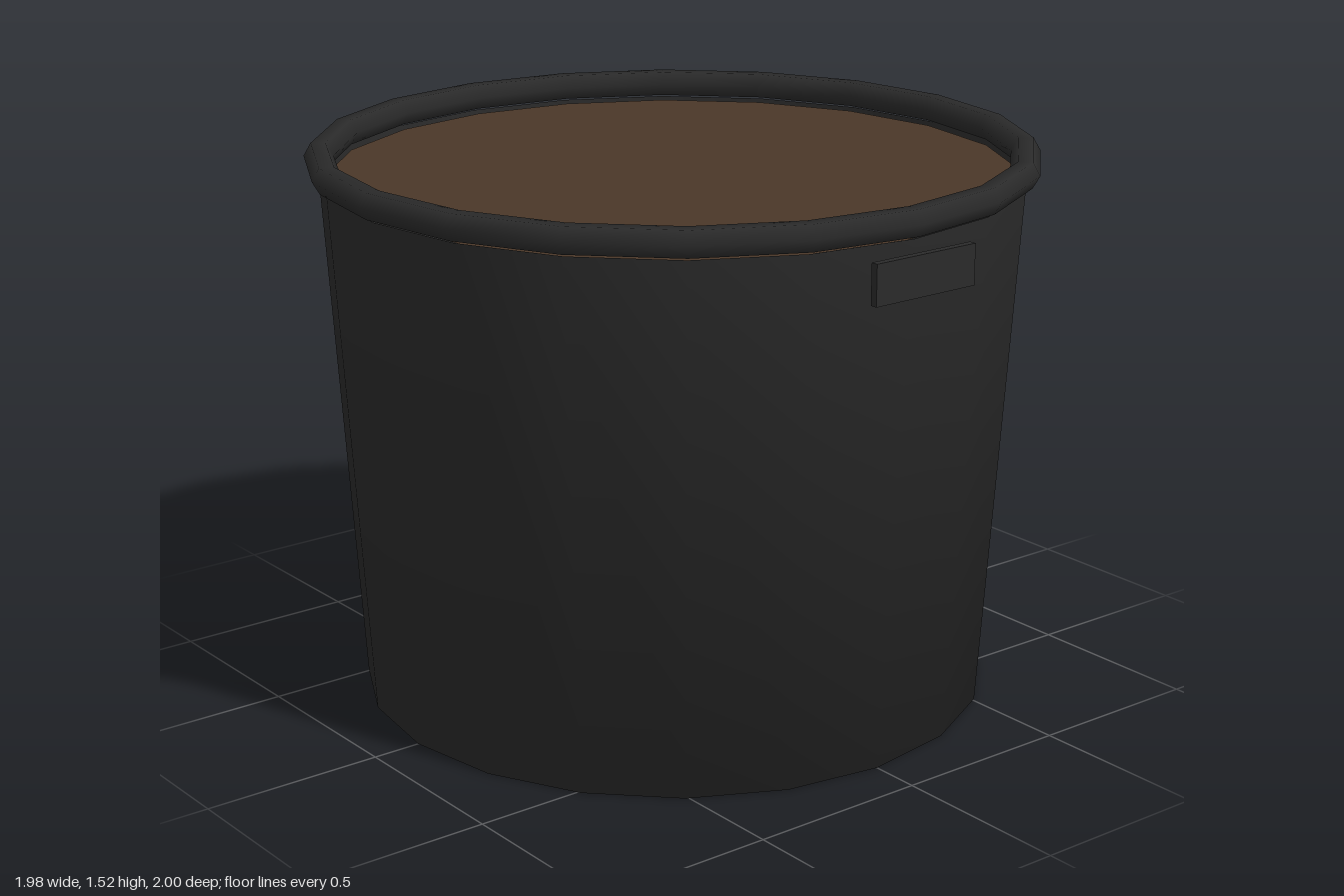
import * as THREE from 'three';

const SIDES = 20;

export function createModel() {
  const group = new THREE.Group();
  const plastic = new THREE.MeshStandardMaterial({ color: 0x2a2a2a, side: THREE.DoubleSide });
  const earth = new THREE.MeshStandardMaterial({ color: 0x4a3728 });

  const add = (name, geometry, material, x, y, z) => {
    const mesh = new THREE.Mesh(geometry, material);
    mesh.name = name;
    mesh.position.set(x, y, z);
    group.add(mesh);
    return mesh;
  };

  // Tapered pot, closed at the bottom and open at the top
  const profile = [[0, 0], [0.865, 0], [0.953, 1.447]].map(([r, y]) => new THREE.Vector2(r, y));
  add('potBody', new THREE.LatheGeometry(profile, SIDES), plastic, 0, 0, 0);

  // Rolled rim with a six-sided section
  const rim = new THREE.TorusGeometry(0.95, 0.04, 6, SIDES).rotateX(Math.PI / 2);
  add('rim', rim, plastic, 0, 1.49, 0);

  // Soil surface just under the rim
  const soil = new THREE.CircleGeometry(0.93, SIDES).rotateX(-Math.PI / 2);
  add('soil', soil, earth, 0, 1.44, 0);

  // Flat grip plates at front and back
  for (const [name, side] of [['frontHandle', 1], ['backHandle', -1]]) {
    add(name, new THREE.BoxGeometry(0.325, 0.108, 0.02), plastic, 0, 1.366, side * 0.99);
  }

  return group;
}
